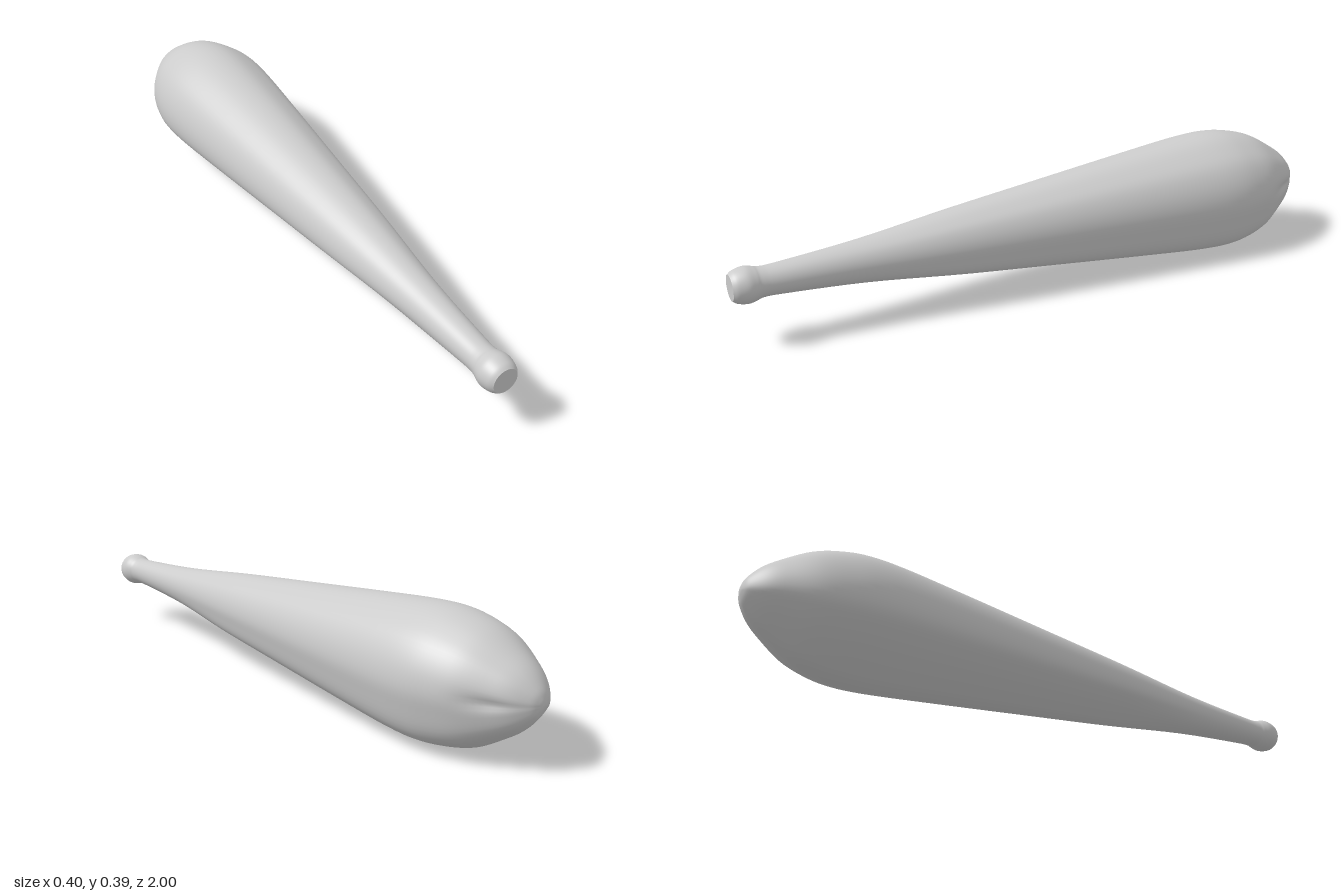
import * as THREE from 'three';

const CENTRE_Y = 0.195;
const HEAD_RADIUS = 0.197;
const SEGMENTS = 72;
const STEPS = 5; // rings between two stations

// lumpy outline of the head, counter-clockwise seen from the front
const outline = new THREE.CatmullRomCurve3([
  [0.197, 0.2], [0.185, 0.265], [0.15, 0.325], [0.1, 0.363], [0.05, 0.387], [0, 0.394],
  [-0.05, 0.387], [-0.1, 0.365], [-0.15, 0.325], [-0.183, 0.27], [-0.198, 0.205],
  [-0.19, 0.15], [-0.15, 0.106], [-0.1, 0.067], [-0.04, 0.03], [0, 0.01], [0.045, 0.002],
  [0.08, 0.012], [0.145, 0.044], [0.168, 0.075], [0.187, 0.14],
].map(([x, y]) => new THREE.Vector3(x, y - CENTRE_Y, 0)), true).getSpacedPoints(SEGMENTS);

// stations from butt to tip: z, scale of the section
const profile = new THREE.SplineCurve([
  [1, 0.2], [0.985, 0.25], [0.955, 0.28], [0.93, 0.255], [0.91, 0.232], [0.85, 0.24],
  [0.6, 0.34], [0.3, 0.525], [0, 0.69], [-0.35, 0.88], [-0.55, 0.98], [-0.66, 1],
  [-0.74, 0.95], [-0.82, 0.83], [-0.9, 0.6], [-0.95, 0.42], [-0.985, 0.22], [-0.997, 0.09], [-1, 0.002],
].map(([z, s]) => new THREE.Vector2(z, s)));

// section point: round at the handle, lumpy towards the head
function sectionPoint(j, z, scale) {
  const p = outline[j % SEGMENTS];
  const angle = Math.atan2(p.y, p.x);
  const lump = 1 - THREE.MathUtils.smoothstep(z, 0.25, 0.75);
  let r = scale * THREE.MathUtils.lerp(HEAD_RADIUS, p.length(), lump);
  // shallow groove on one side of the tip
  r -= 0.012 * Math.exp(-((angle / 0.14) ** 2) - ((z + 0.9) / 0.06) ** 2);
  return [r * Math.cos(angle), CENTRE_Y + r * Math.sin(angle), z];
}

function loftBat() {
  const rings = (profile.points.length - 1) * STEPS;
  const positions = [];
  const indices = [];
  for (let i = 0; i <= rings; i++) {
    const { x: z, y: scale } = profile.getPoint(i / rings);
    for (let j = 0; j < SEGMENTS; j++) positions.push(...sectionPoint(j, z, Math.max(scale, 0.002)));
  }
  for (let i = 0; i < rings; i++) {
    for (let j = 0; j < SEGMENTS; j++) {
      const k = (j + 1) % SEGMENTS;
      const a = i * SEGMENTS + j, b = i * SEGMENTS + k;
      indices.push(a, a + SEGMENTS, b, b, a + SEGMENTS, b + SEGMENTS);
    }
  }
  const geometry = new THREE.BufferGeometry();
  geometry.setAttribute('position', new THREE.Float32BufferAttribute(positions, 3));
  geometry.setIndex(indices);
  geometry.computeVertexNormals();
  return geometry;
}

export function createModel() {
  const group = new THREE.Group();
  group.name = 'club';
  const material = new THREE.MeshStandardMaterial({ color: 0xcccccc });

  // handle, knob and head in one smooth skin
  const body = new THREE.Mesh(loftBat(), material);
  body.name = 'clubBody';
  group.add(body);

  // flat end of the knob
  const cap = new THREE.Mesh(new THREE.CircleGeometry(HEAD_RADIUS * 0.2, SEGMENTS), material);
  cap.name = 'knobEnd';
  cap.position.set(0, CENTRE_Y, 1);
  group.add(cap);

  return group;
}
